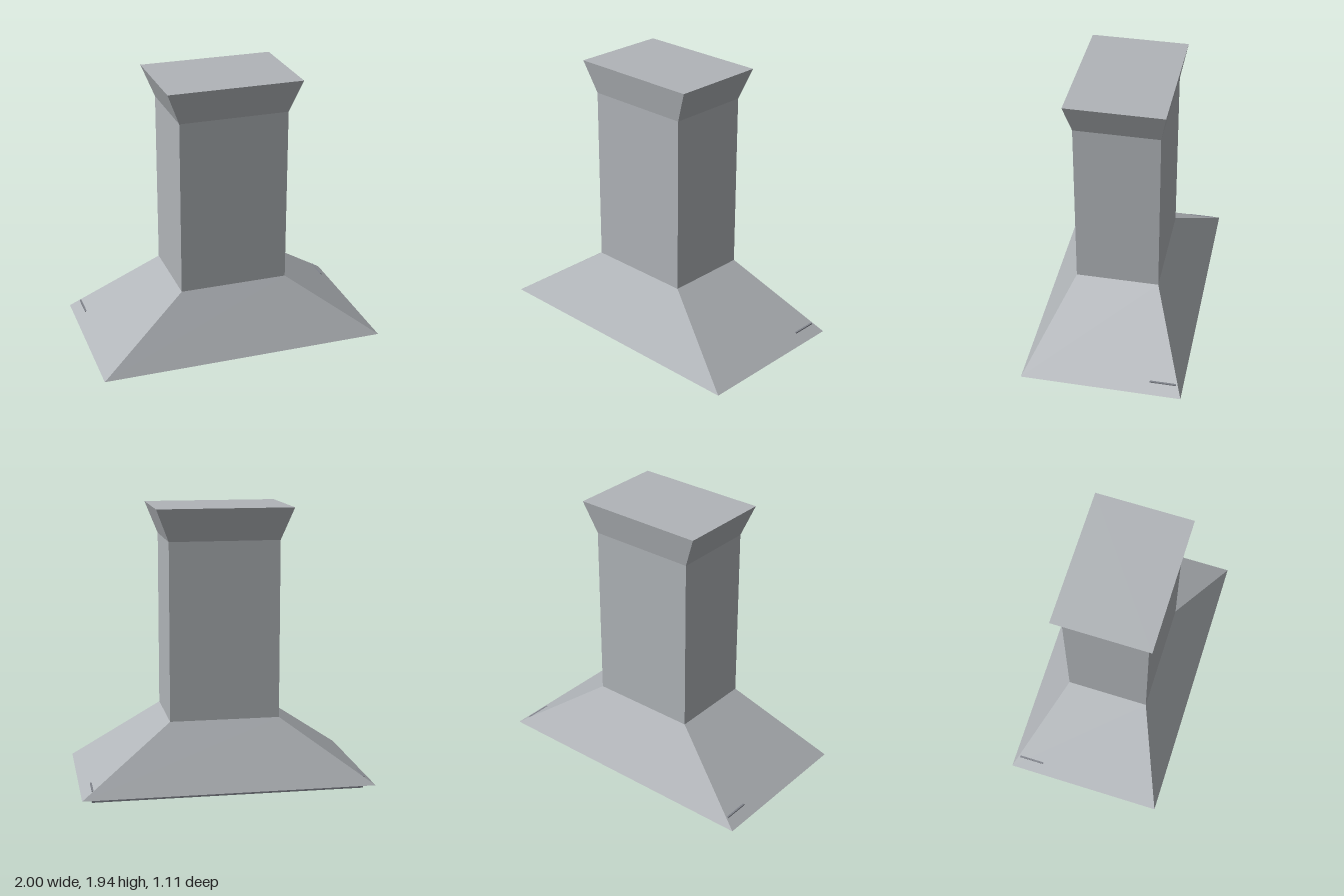
import * as THREE from 'three';

const steel = new THREE.MeshStandardMaterial({ color: 0xb0b4b8 });
steel.name = 'brushedSteel';
const darkSteel = new THREE.MeshStandardMaterial({ color: 0x80838b });
darkSteel.name = 'darkSteel';
const warmGlass = new THREE.MeshStandardMaterial({ color: 0xffe2a0 });
warmGlass.name = 'warmGlass';

// Box between y0 and y1 whose top and bottom have their own half sizes
function taperedBox(name, material, y0, [bx, bz], y1, [tx, tz]) {
  const box = new THREE.BoxGeometry(2, 2, 2);
  const p = box.attributes.position;
  for (let i = 0; i < p.count; i++) {
    const top = p.getY(i) > 0;
    p.setXYZ(i, p.getX(i) * (top ? tx : bx), top ? y1 : y0, p.getZ(i) * (top ? tz : bz));
  }
  box.computeVertexNormals();
  const mesh = new THREE.Mesh(box, material);
  mesh.name = name;
  return mesh;
}

export function createModel() {
  const model = new THREE.Group();
  model.name = 'rangeHood';

  const rim = [1, 0.555];
  const duct = [0.378, 0.29];
  const crown = [0.465, 0.332];
  const panel = [0.932, 0.49];

  // Canopy, chimney and flared crown
  model.add(taperedBox('canopy', steel, 0.054, rim, 0.496, duct));
  model.add(taperedBox('chimney', steel, 0.496, duct, 1.72, duct));
  model.add(taperedBox('crown', steel, 1.72, duct, 1.94, crown));

  // Filter panel under the canopy
  model.add(taperedBox('filterPanel', darkSteel, 0.02, panel, 0.06, panel));

  for (const side of [-1, 1]) {
    // Round lamp under the panel
    const lamp = new THREE.Mesh(new THREE.CylinderGeometry(0.075, 0.075, 0.024, 16), warmGlass);
    lamp.name = side > 0 ? 'leftLamp' : 'rightLamp';
    lamp.position.set(side * 0.5, 0.012, 0);
    model.add(lamp);

    // Slim control bar on the sloping side, near the back
    const bar = new THREE.Mesh(new THREE.BoxGeometry(0.013, 0.013, 0.18), darkSteel);
    bar.name = side > 0 ? 'leftControlBar' : 'rightControlBar';
    bar.position.set(side * 0.926, 0.104, -0.422);
    model.add(bar);
  }

  return model;
}
